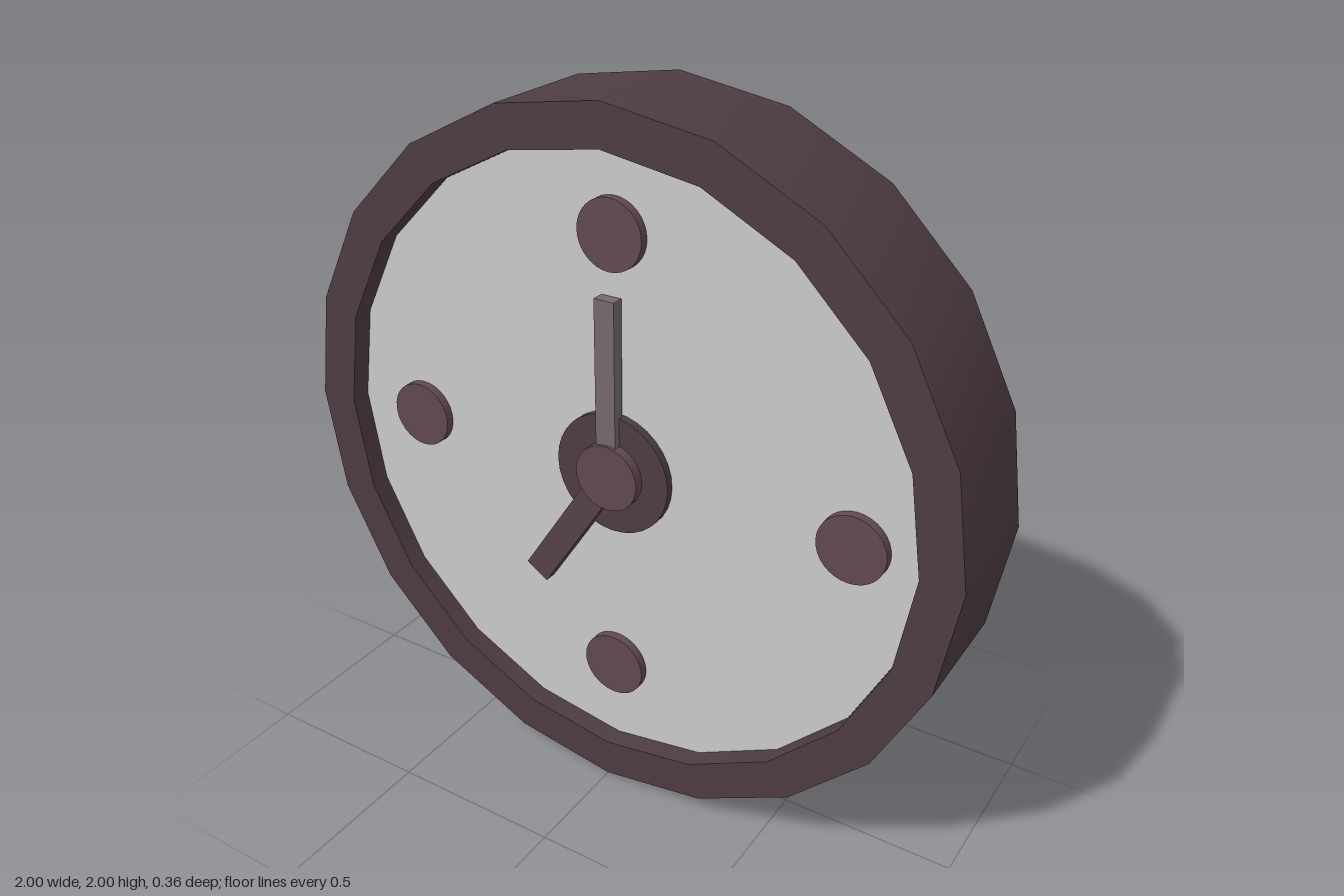
import * as THREE from 'three';
import { toCreasedNormals } from 'three/addons/utils/BufferGeometryUtils.js';

const SIDES = 20, HALF = 0.18, FACE_Z = 0.12;

export function createModel() {
  const clock = new THREE.Group();
  clock.name = 'wallClock';
  const paint = (color) => new THREE.MeshStandardMaterial({ color });
  const frameMat = paint(0x4e3c42);
  const markerMat = paint(0x614951);
  const hourMat = paint(0x56424a);
  const minuteMat = paint(0x756a6d);
  const dialMat = paint(0xcccccc);

  function add(name, geometry, material, x = 0, y = 1, z = 0) {
    const mesh = new THREE.Mesh(geometry, material);
    mesh.name = name;
    mesh.position.set(x, y, z);
    clock.add(mesh);
    return mesh;
  }

  // Disc facing +z that sits between two depths
  function disc(name, radius, z0, z1, material, x = 0, y = 1, sides = 32) {
    const g = new THREE.CylinderGeometry(radius, radius, z1 - z0, sides).rotateX(Math.PI / 2);
    return add(name, g, material, x, y, (z0 + z1) / 2);
  }

  // Frame: closed back, outer wall, flat rim and inner lip
  const profile = [
    [0, -HALF], [1, -HALF], [1, HALF], [0.885, HALF], [0.885, FACE_Z - 0.01],
  ].map(([r, h]) => new THREE.Vector2(r, h));
  const frame = new THREE.LatheGeometry(profile, SIDES).rotateX(Math.PI / 2);
  add('frame', toCreasedNormals(frame, 0.6), frameMat);

  // Recessed dial, its corners aligned with the frame
  const dial = new THREE.CircleGeometry(0.885, SIDES);
  add('dial', dial, dialMat, 0, 1, FACE_Z);

  // Quarter-hour markers
  for (const [x, y] of [[0, 1.665], [0.695, 1], [0, 0.375], [-0.655, 1]]) {
    disc('hourMarker', 0.095, FACE_Z - 0.01, FACE_Z + 0.025, markerMat, x, y);
  }

  // Hub and centre cap
  disc('hub', 0.174, FACE_Z - 0.01, 0.143, frameMat);
  disc('centreCap', 0.095, 0.13, 0.172, markerMat);

  // Hands, each pivoting on the hub
  function hand(name, length, width, angle, x, material) {
    const g = new THREE.BoxGeometry(width, length, 0.035).translate(0, length / 2, 0);
    add(name, g, material, x, 1, 0.146).rotation.z = angle;
  }
  hand('minuteHand', 0.5, 0.06, 0, -0.005, minuteMat);
  hand('hourHand', 0.453, 0.078, Math.PI - 0.575, 0, hourMat);

  return clock;
}
